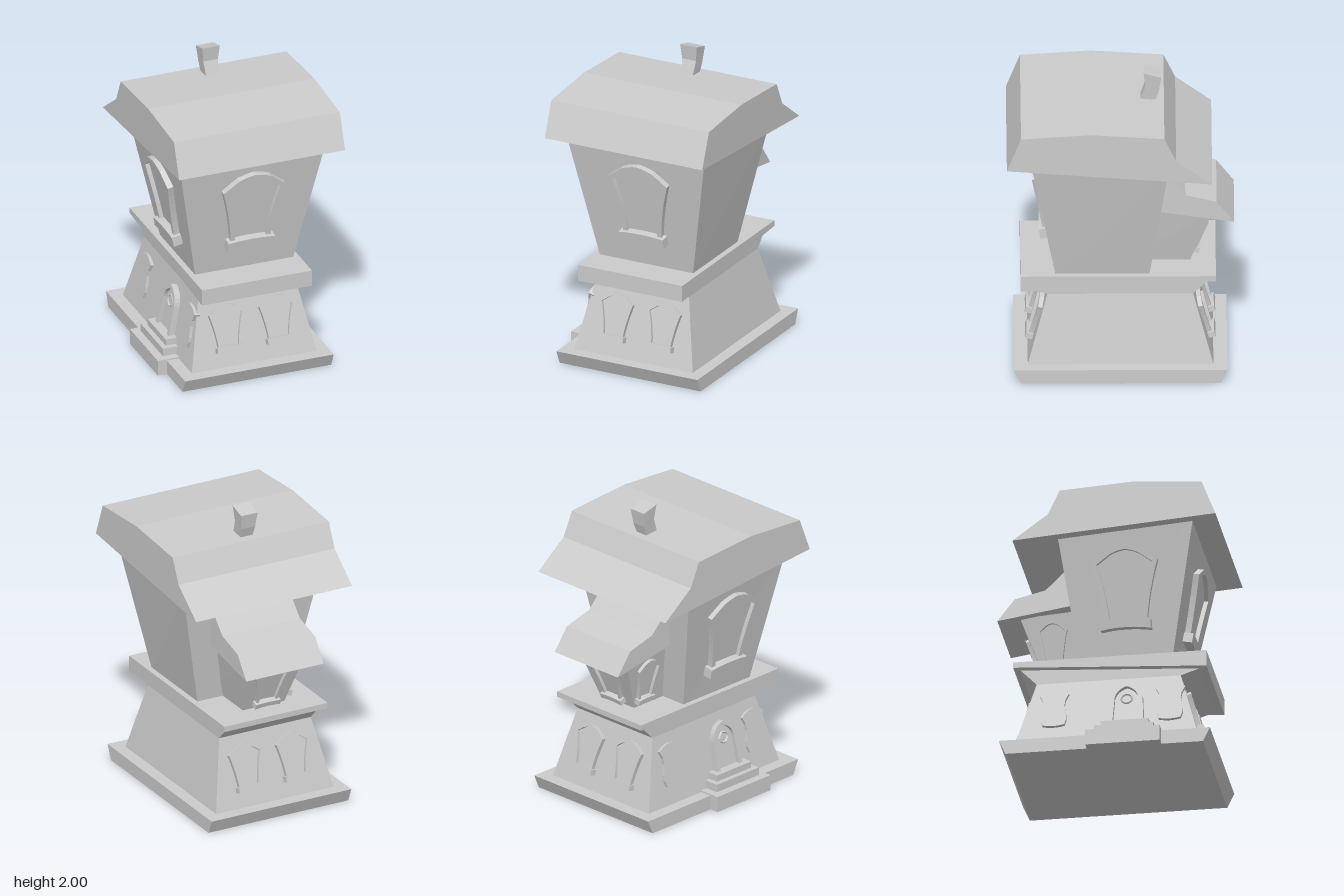
import * as THREE from 'three';

const material = new THREE.MeshStandardMaterial({ color: 0xcccccc, flatShading: true, side: THREE.DoubleSide });

function mesh(name, geometry) {
  const m = new THREE.Mesh(geometry, material);
  m.name = name;
  return m;
}

// Six-sided block between two rectangles: x half width, front z/y, back z/y
function block(name, bottom, top) {
  const g = new THREE.BoxGeometry(2, 2, 2);
  const p = g.attributes.position;
  for (let i = 0; i < p.count; i++) {
    const [x, zf, yf, zb, yb] = p.getY(i) > 0 ? top : bottom;
    const front = p.getZ(i) > 0;
    p.setXYZ(i, Math.sign(p.getX(i)) * x, front ? yf : yb, front ? zf : zb);
  }
  g.computeVertexNormals();
  return mesh(name, g);
}

// Prism along x from a [z, y] side profile
function roof(name, profile, halfWidth) {
  const shape = new THREE.Shape(profile.map(([z, y]) => new THREE.Vector2(-z, y)));
  const g = new THREE.ExtrudeGeometry(shape, { depth: halfWidth * 2, bevelEnabled: false });
  g.translate(0, 0, -halfWidth).rotateY(Math.PI / 2);
  return mesh(name, g);
}

// Plate from a shape, from z = back to z = front
function plate(name, shape, back, front) {
  const g = new THREE.ExtrudeGeometry(shape, { depth: front - back, bevelEnabled: false, curveSegments: 6 });
  return mesh(name, g.translate(0, 0, back));
}

// Opening that widens upwards and ends in a shallow arch, inset by t
function archOutline(t, Type = THREE.Shape) {
  const s = new Type();
  const b = 0.135 - t, w = 0.213 - t * 1.1, y0 = 0.04 + t * 0.6;
  s.moveTo(-b, y0);
  s.lineTo(b, y0);
  s.quadraticCurveTo(b + 0.015, 0.24, w, 0.455 - t * 0.4);
  s.lineTo(0.11 - t * 0.5, 0.535 - t);
  s.quadraticCurveTo(0.05, 0.56 - t, 0, 0.565 - t);
  s.quadraticCurveTo(-0.05, 0.56 - t, -0.11 + t * 0.5, 0.535 - t);
  s.lineTo(-w, 0.455 - t * 0.4);
  s.quadraticCurveTo(-b - 0.015, 0.24, -b, y0);
  return s;
}

// Framed window with a bowed sill; origin at the sill's bottom on the wall
function makeWindow(name) {
  const g = new THREE.Group();
  g.name = name;
  const frame = archOutline(0);
  frame.holes.push(archOutline(0.03, THREE.Path));
  const sill = new THREE.Shape();
  sill.moveTo(-0.163, 0);
  sill.quadraticCurveTo(0, 0.03, 0.163, 0);
  sill.lineTo(0.16, 0.065);
  sill.quadraticCurveTo(0, 0.085, -0.16, 0.065);
  g.add(
    plate('windowFrame', frame, -0.02, 0.038),
    plate('windowPane', archOutline(0.028), -0.02, 0.01),
    plate('windowSill', sill, -0.02, 0.062)
  );
  return g;
}

// Narrow waisted panel beside the door
function makeSidePanel() {
  const s = new THREE.Shape();
  s.moveTo(-0.075, 0);
  s.quadraticCurveTo(0, -0.02, 0.075, 0);
  s.bezierCurveTo(0.12, 0.09, 0.03, 0.13, 0.1, 0.24);
  s.quadraticCurveTo(0, 0.31, -0.1, 0.24);
  s.bezierCurveTo(-0.03, 0.13, -0.12, 0.09, -0.075, 0);
  return plate('sidePanel', s, -0.02, 0.022);
}

function doorOutline(t, Type = THREE.Shape) {
  const s = new Type();
  const w = 0.115 - t;
  s.moveTo(-w, 0);
  s.lineTo(w, 0);
  s.lineTo(w - 0.01, 0.2);
  s.quadraticCurveTo(w - 0.02, 0.29 - t, 0, 0.315 - t);
  s.quadraticCurveTo(-w + 0.02, 0.29 - t, -w + 0.01, 0.2);
  s.lineTo(-w, 0);
  return s;
}

// Arched door with a small light near its top
function makeDoor() {
  const g = new THREE.Group();
  g.name = 'door';
  const frame = doorOutline(0);
  frame.holes.push(doorOutline(0.03, THREE.Path));
  const light = mesh('doorLight', new THREE.TorusGeometry(0.035, 0.008, 4, 10));
  light.position.set(0, 0.2, 0.018);
  g.add(plate('doorFrame', frame, -0.02, 0.04), plate('doorLeaf', doorOutline(0.028), -0.02, 0.015), light);
  return g;
}

export function createModel() {
  const model = new THREE.Group();
  model.name = 'tower';

  // Base and lower storey
  model.add(
    block('base', [0.51, 0.64, 0, -0.635, 0], [0.51, 0.685, 0.095, -0.677, 0.095]),
    block('lowerWalls', [0.43, 0.597, 0.09, -0.59, 0.09], [0.335, 0.47, 0.555, -0.46, 0.555]),
    block('belt flare', [0.335, 0.47, 0.555, -0.46, 0.555], [0.335, 0.605, 0.6, -0.57, 0.668]),
    block('belt', [0.377, 0.642, 0.593, -0.605, 0.665], [0.377, 0.642, 0.702, -0.605, 0.702])
  );

  // Upper storey, annex and roofs
  model.add(
    block('upperWalls', [0.335, 0.418, 0.69, -0.18, 0.69], [0.507, 0.577, 1.59, -0.302, 1.53]),
    block('annexWalls', [0.15, 0, 0.69, -0.437, 0.69], [0.232, 0, 1.12, -0.582, 1.075]),
    roof('mainRoof', [[0.73, 1.57], [0.64, 1.8], [0.2, 1.83], [-0.275, 1.8], [-0.35, 1.64], [-0.58, 1.47]], 0.57),
    roof('annexRoof', [[-0.2, 1.44], [-0.28, 1.37], [-0.41, 1.24], [-0.61, 1.19], [-0.722, 1.045], [-0.2, 1.125]], 0.283)
  );

  // Bent chimney
  const bends = [
    [0.04, -0.115, 1.78, -0.21, 1.77],
    [0.05, -0.157, 1.9, -0.243, 1.87],
    [0.06, -0.145, 2, -0.258, 1.97]
  ];
  for (let i = 0; i < 2; i++) model.add(block('chimney', bends[i], bends[i + 1]));

  // Put a wall fitting in place: yaw turns it, tilt follows the wall's lean
  const place = (part, x, y, z, yaw, tilt, sx = 1, sy = sx) => {
    part.position.set(x, y, z);
    part.rotation.set(tilt, yaw, 0, 'YXZ');
    part.scale.set(sx, sy, Math.max(sx, 0.75));
    model.add(part);
  };
  const right = -Math.PI / 2;

  // Upper windows
  place(makeWindow('frontUpperWindow'), 0.013, 0.88, 0.452, 0, 0.175);
  place(makeWindow('rightUpperWindow'), -0.371, 0.87, 0.13, right, 0.189);
  place(makeWindow('annexBackWindow'), 0, 0.73, -0.451, Math.PI, 0.34, 0.56, 0.55);
  place(makeWindow('annexRightWindow'), -0.158, 0.74, -0.375, right, 0.19, 0.45, 0.55);

  // Lower windows, two in front and two behind
  for (const x of [-0.162, 0.183]) {
    place(makeWindow('frontLowerWindow'), x, 0.195, 0.568, 0, -0.266, 0.57, 0.55);
    place(makeWindow('backLowerWindow'), x - 0.01, 0.195, -0.56, Math.PI, -0.273, 0.57, 0.55);
  }

  // Door side
  place(makeDoor(), -0.409, 0.19, 0.13, right, -0.2);
  for (const z of [-0.34, 0.41]) place(makeSidePanel(), -0.402, 0.22, z, right, -0.2, 0.95, 1);

  // Door steps: outer x, bottom y, top y, half width
  for (const [x, y0, y1, w] of [[0.573, 0, 0.105, 0.24], [0.518, 0.09, 0.157, 0.19], [0.484, 0.15, 0.2, 0.155]]) {
    const step = mesh('doorStep', new THREE.BoxGeometry(x - 0.36, y1 - y0, w * 2));
    step.position.set(-(x + 0.36) / 2, (y0 + y1) / 2, 0.13);
    model.add(step);
  }

  return model;
}
